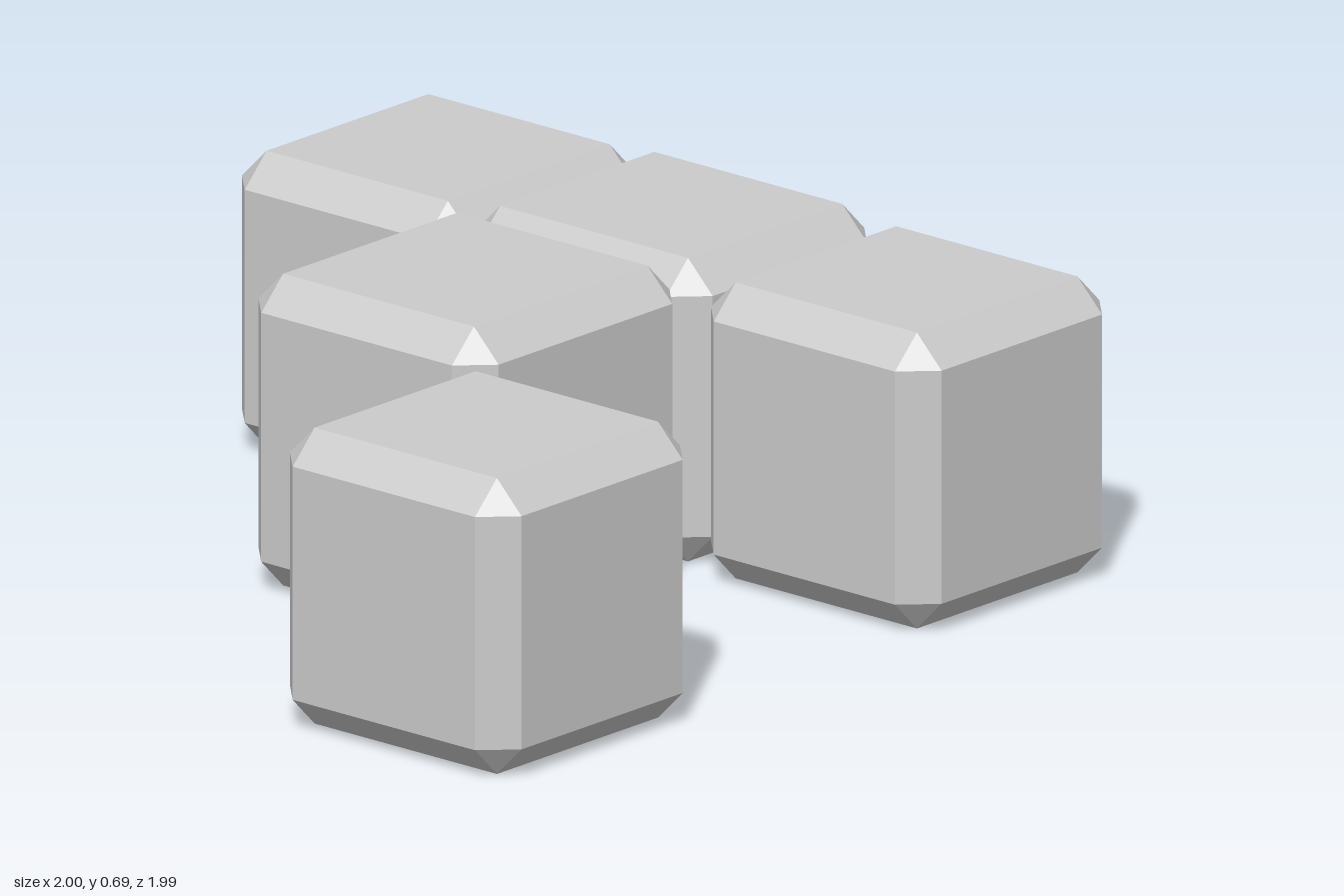
import * as THREE from 'three';
import { ConvexGeometry } from 'three/addons/geometries/ConvexGeometry.js';

const BEVEL = 0.07;

// Box with flat chamfered edges and triangular corners
function chamferedBox(w, h, d, b) {
  const points = [];
  for (const sx of [-1, 1]) for (const sy of [-1, 1]) for (const sz of [-1, 1]) {
    const x = w / 2, y = h / 2, z = d / 2;
    points.push(
      new THREE.Vector3(sx * x, sy * (y - b), sz * (z - b)),
      new THREE.Vector3(sx * (x - b), sy * y, sz * (z - b)),
      new THREE.Vector3(sx * (x - b), sy * (y - b), sz * z)
    );
  }
  return new ConvexGeometry(points);
}

export function createModel() {
  const group = new THREE.Group();
  group.name = 'blockCluster';
  const material = new THREE.MeshStandardMaterial({ color: 0xcccccc, flatShading: true });

  // Each block: x range, z range and height, all standing on the ground
  const blocks = [
    { name: 'looseBlock', x: [-1, -0.346], z: [0.329, 0.986], h: 0.66 },
    { name: 'centreBlock', x: [-0.341, 0.353], z: [-0.346, 0.335], h: 0.695 },
    { name: 'rowMiddleBlock', x: [0.351, 0.983], z: [-0.346, 0.327], h: 0.677 },
    { name: 'rowBackBlock', x: [0.342, 0.998], z: [-1, -0.346], h: 0.66 },
    { name: 'rowFrontBlock', x: [0.332, 0.984], z: [0.339, 0.993], h: 0.66 },
  ];

  for (const { name, x, z, h } of blocks) {
    const mesh = new THREE.Mesh(chamferedBox(x[1] - x[0], h, z[1] - z[0], BEVEL), material);
    mesh.position.set((x[0] + x[1]) / 2, h / 2, (z[0] + z[1]) / 2);
    mesh.name = name;
    group.add(mesh);
  }
  return group;
}
